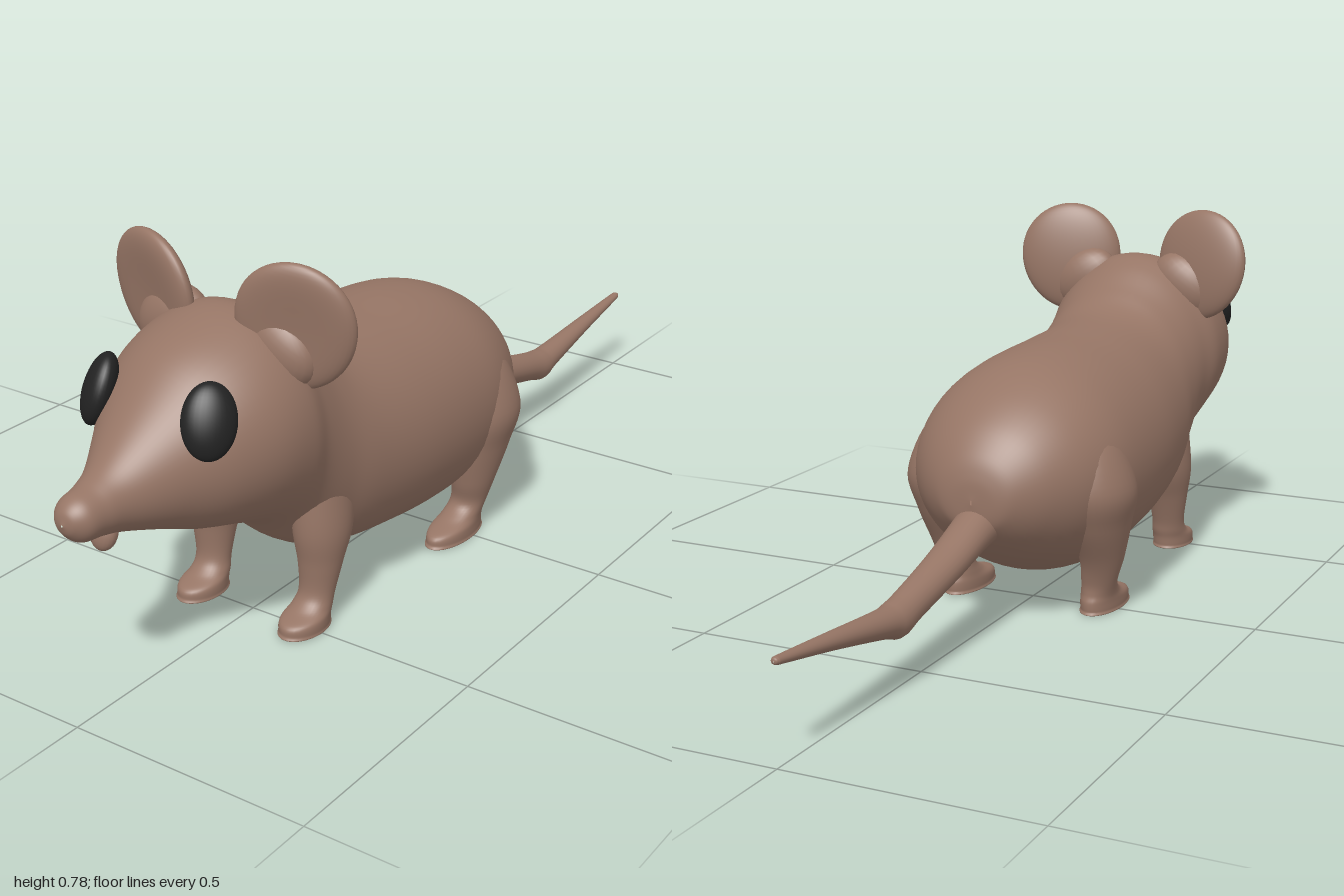
import * as THREE from 'three';

const fur = new THREE.MeshStandardMaterial({ color: 0x967565 });
fur.name = 'brown fur';
const black = new THREE.MeshStandardMaterial({ color: 0x222222 });
black.name = 'black eye';

// Smooth skin through elliptical sections [x, y, z, a, b].
// axis 'z': sections lie in xy (a = x radius, b = y radius), listed by falling z.
// axis 'y': sections lie in xz (a = x radius, b = z radius), listed by falling y.
function loft(sections, axis, rows, sides = 40) {
  const centre = new THREE.CatmullRomCurve3(
    sections.map(s => new THREE.Vector3(s[0], s[1], s[2])), false, 'catmullrom', 0.5);
  const radius = new THREE.CatmullRomCurve3(
    sections.map(s => new THREE.Vector3(s[3], s[4], 0)), false, 'catmullrom', 0.5);
  const pos = [], index = [];
  for (let i = 0; i <= rows; i++) {
    const c = centre.getPoint(i / rows), r = radius.getPoint(i / rows);
    const a = Math.max(r.x, 0.0005), b = Math.max(r.y, 0.0005);
    for (let j = 0; j < sides; j++) {
      const t = (j / sides) * Math.PI * 2;
      const u = a * Math.cos(t), v = b * Math.sin(t);
      if (axis === 'z') pos.push(c.x + u, c.y + v, c.z);
      else pos.push(c.x + u, Math.max(0, c.y), c.z - v);
      if (i < rows) {
        const p = i * sides + j, q = i * sides + (j + 1) % sides;
        index.push(p, p + sides, q, q, p + sides, q + sides);
      }
    }
  }
  const g = new THREE.BufferGeometry();
  g.setAttribute('position', new THREE.Float32BufferAttribute(pos, 3));
  g.setIndex(index);
  g.computeVertexNormals();
  return g;
}

function add(parent, name, geometry, material = fur) {
  const m = new THREE.Mesh(geometry, material);
  m.name = name;
  parent.add(m);
  return m;
}

// Body stations: z, top y, bottom y, half width
const bodyProfile = [
  [1.0, 0.402, 0.398, 0.002], [0.992, 0.425, 0.378, 0.024], [0.97, 0.442, 0.358, 0.043],
  [0.93, 0.452, 0.352, 0.05], [0.88, 0.478, 0.34, 0.066], [0.8, 0.545, 0.312, 0.115],
  [0.72, 0.613, 0.28, 0.17], [0.64, 0.65, 0.256, 0.203], [0.56, 0.668, 0.225, 0.21],
  [0.5, 0.648, 0.185, 0.198], [0.43, 0.6, 0.125, 0.2], [0.35, 0.558, 0.088, 0.215],
  [0.2, 0.543, 0.068, 0.235], [0.05, 0.536, 0.06, 0.24], [-0.06, 0.518, 0.078, 0.232],
  [-0.15, 0.48, 0.118, 0.2], [-0.22, 0.43, 0.165, 0.15], [-0.265, 0.375, 0.205, 0.096],
  [-0.283, 0.33, 0.23, 0.055], [-0.288, 0.285, 0.275, 0.002],
];

export function createModel() {
  const root = new THREE.Group();
  root.name = 'mouse';

  // Head, snout and trunk in one skin
  add(root, 'body', loft(
    bodyProfile.map(([z, top, low, w]) => [0, (top + low) / 2, z, w, (top - low) / 2]), 'z', 120, 56));

  // Tail with a kink halfway
  add(root, 'tail', loft([
    [0, 0.24, -0.2, 0.055, 0.055], [0, 0.222, -0.28, 0.046, 0.043], [0, 0.185, -0.4, 0.042, 0.035],
    [0, 0.15, -0.54, 0.036, 0.034], [0, 0.136, -0.6, 0.036, 0.036], [0, 0.142, -0.65, 0.031, 0.028],
    [0, 0.167, -0.82, 0.02, 0.017], [0, 0.187, -0.97, 0.011, 0.009], [0, 0.19, -0.995, 0.008, 0.007],
    [0, 0.19, -1.0, 0.001, 0.001],
  ], 'z', 60, 24));

  // Lower lip hanging under the snout
  const lip = add(root, 'lowerLip', new THREE.SphereGeometry(1, 20, 14));
  lip.scale.set(0.029, 0.036, 0.02);
  lip.position.set(0, 0.348, 0.9);
  lip.rotation.x = -0.3;

  for (const s of [1, -1]) {
    const side = new THREE.Group();
    side.name = s > 0 ? 'leftSide' : 'rightSide';
    root.add(side);

    // Round ear, narrowed to its root and slightly hollow in front
    const earGeo = new THREE.SphereGeometry(1, 40, 28);
    const p = earGeo.attributes.position;
    for (let i = 0; i < p.count; i++) {
      const x = p.getX(i), y = p.getY(i), z = p.getZ(i);
      const hollow = z > 0 ? 1 - 0.5 * z * z : 1;
      p.setXYZ(i, x * 0.117 * (1 + 0.05 * y), y * 0.125, z * 0.034 * hollow);
    }
    earGeo.computeVertexNormals();
    const ear = add(side, 'ear', earGeo);
    ear.position.set(s * 0.163, 0.652, 0.555);
    ear.rotation.set(0.1, s * 0.26, -s * 0.15);

    // Soft root joining ear and skull
    const base = add(side, 'earRoot', new THREE.SphereGeometry(1, 24, 16));
    base.scale.set(0.085, 0.065, 0.045);
    base.position.set(s * 0.125, 0.605, 0.55);
    base.rotation.z = -s * 0.6;

    // Eye, lying against the slope of the head
    const eye = add(side, 'eye', new THREE.SphereGeometry(1, 32, 24), black);
    eye.scale.set(0.05, 0.07, 0.03);
    eye.position.set(s * 0.127, 0.535, 0.757);
    eye.rotation.order = 'YXZ';
    eye.rotation.set(-0.35, s * 0.8, -s * 0.12);

    // Front leg flowing into the foot
    add(side, 'frontLeg', loft([
      [s * 0.125, 0.3, 0.43, 0.055, 0.07], [s * 0.13, 0.2, 0.44, 0.056, 0.064],
      [s * 0.131, 0.13, 0.45, 0.045, 0.045], [s * 0.129, 0.07, 0.46, 0.037, 0.034],
      [s * 0.127, 0.042, 0.474, 0.039, 0.042], [s * 0.127, 0.026, 0.496, 0.043, 0.06],
      [s * 0.127, 0.008, 0.5, 0.043, 0.062], [s * 0.127, 0, 0.5, 0.04, 0.06],
      [s * 0.127, 0, 0.5, 0.001, 0.001],
    ], 'y', 56, 32));

    // Hind leg with haunch and long foot
    add(side, 'hindLeg', loft([
      [s * 0.15, 0.41, -0.06, 0.002, 0.002], [s * 0.155, 0.38, -0.06, 0.055, 0.07],
      [s * 0.168, 0.28, -0.06, 0.085, 0.1], [s * 0.175, 0.2, -0.05, 0.064, 0.082],
      [s * 0.174, 0.12, -0.035, 0.046, 0.052], [s * 0.167, 0.07, -0.03, 0.038, 0.038],
      [s * 0.162, 0.043, -0.012, 0.038, 0.054], [s * 0.16, 0.026, 0.012, 0.041, 0.083],
      [s * 0.16, 0.008, 0.016, 0.041, 0.087], [s * 0.16, 0, 0.016, 0.039, 0.084],
      [s * 0.16, 0, 0.016, 0.001, 0.001],
    ], 'y', 66, 32));
  }
  return root;
}
